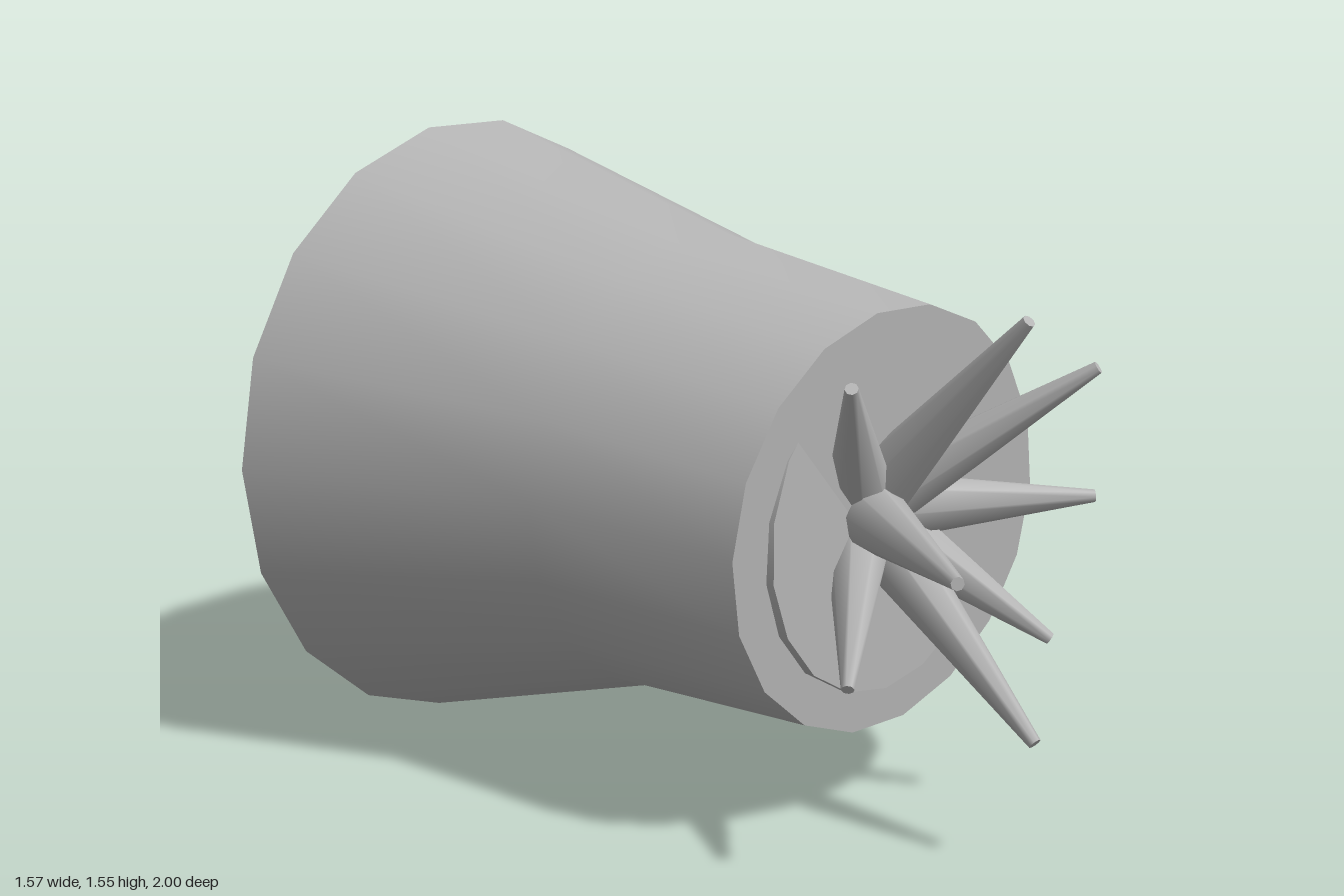
import * as THREE from 'three';
import { toCreasedNormals } from 'three/addons/utils/BufferGeometryUtils.js';

export function createModel() {
  const group = new THREE.Group();
  const grey = new THREE.MeshStandardMaterial({ color: 0xb4b4b4 });
  grey.name = 'plain grey';

  const add = (name, geometry) => {
    const mesh = new THREE.Mesh(geometry, grey);
    mesh.name = name;
    group.add(mesh);
    return mesh;
  };

  // Flared body: three tilted rings from back to front
  const rings = [
    { x: 0, y: 0.775, z: -0.93, r: 0.785, tiltX: -0.09, tiltY: 0.02 },
    { x: 0.065, y: 0.76, z: -0.175, r: 0.567, tiltX: -0.035, tiltY: 0.04 },
    { x: 0.03, y: 0.73, z: 0.48, r: 0.5, tiltX: 0.06, tiltY: 0.055 },
  ];
  const body = new THREE.CylinderGeometry(1, 1, 2, 18, 2, false, Math.PI / 2);
  body.rotateX(Math.PI / 2);
  const pos = body.attributes.position;
  for (let i = 0; i < pos.count; i++) {
    const ring = rings[Math.round(pos.getZ(i)) + 1];
    const dx = pos.getX(i) * ring.r;
    const dy = pos.getY(i) * ring.r;
    pos.setXYZ(i, ring.x + dx, ring.y + dy, ring.z + dx * ring.tiltX + dy * ring.tiltY);
  }
  add('body', toCreasedNormals(body, 0.7));

  // Inner disc, partly sunk in the tilted front face
  const disc = new THREE.CylinderGeometry(0.4, 0.4, 0.1, 18);
  disc.rotateX(Math.PI / 2);
  add('frontDisc', disc).position.set(0.03, 0.73, 0.424);

  // Spikes fanning out from one centre, given by their tips
  const centre = new THREE.Vector3(0.02, 0.75, 0.4);
  const up = new THREE.Vector3(0, 1, 0);
  const tips = [
    [0, 1.24, 0.865], [0.26, 1.105, 0.87], [0.395, 0.775, 0.785], [0.285, 0.45, 0.75],
    [0, 0.312, 0.915], [-0.31, 0.45, 0.64], [-0.395, 0.775, 0.99], [-0.31, 1.11, 0.64],
  ];
  for (const tip of tips) {
    const dir = new THREE.Vector3(...tip).sub(centre);
    const length = dir.length();
    const spike = new THREE.CylinderGeometry(0.015, 0.09, length, 8);
    spike.translate(0, length / 2, 0);
    const mesh = add('spike', spike);
    mesh.position.copy(centre);
    mesh.quaternion.setFromUnitVectors(up, dir.normalize());
  }
  return group;
}
